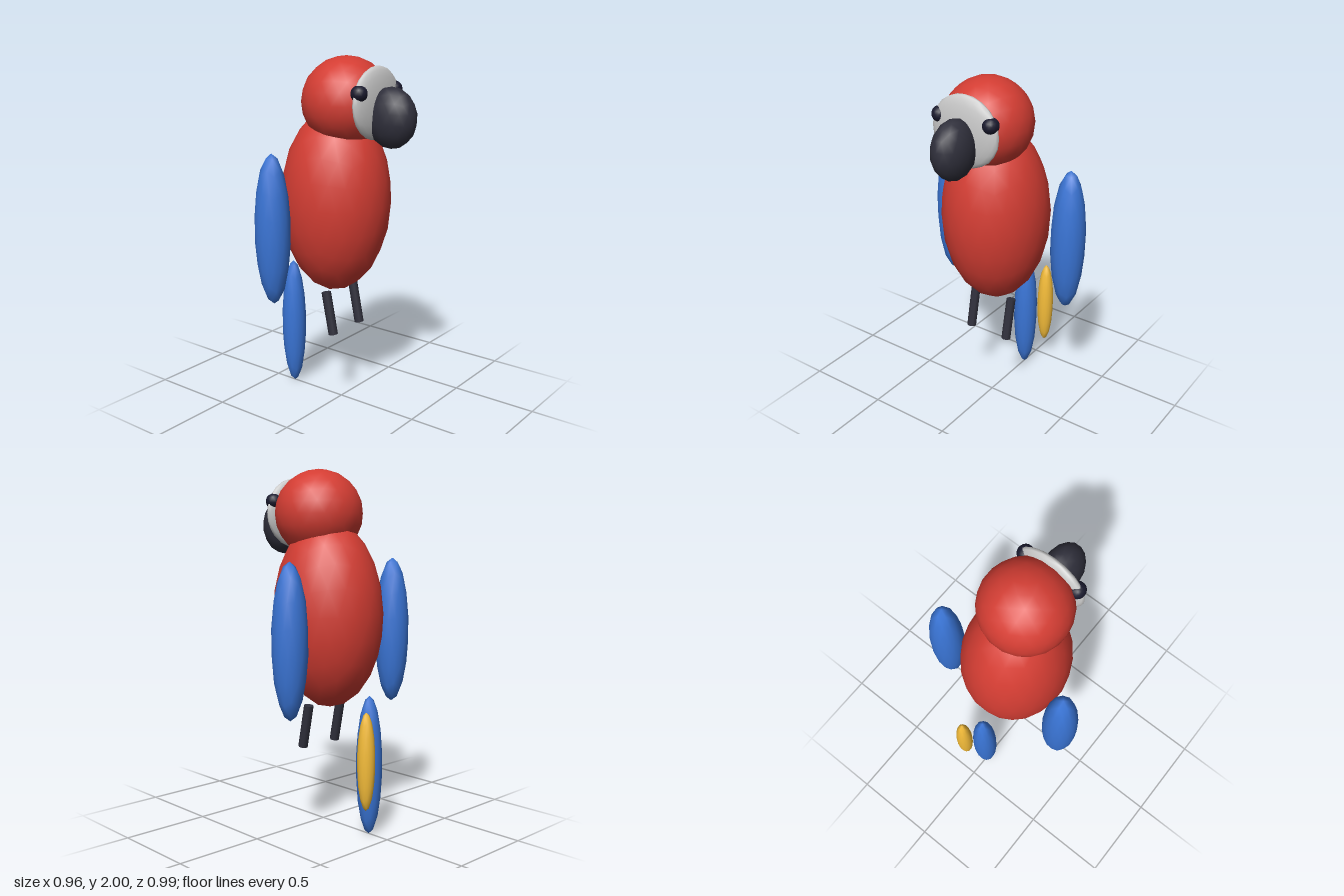
import * as THREE from 'three';

const RED = 0xd43d33, BLUE = 0x3a75d6, YELLOW = 0xf5bd3a, DARK = 0x30303c, EYE = 0x1a1a2e, GREY = 0xcccccc;

export function createModel() {
  const parrot = new THREE.Group();
  parrot.name = 'parrot';

  const add = (name, geometry, color, position) => {
    const mesh = new THREE.Mesh(geometry, new THREE.MeshStandardMaterial({ color }));
    mesh.name = name;
    mesh.position.set(...position);
    parrot.add(mesh);
    return mesh;
  };

  // Smooth low-poly ellipsoid with a vertex at each pole of the y axis
  const ellipsoid = (name, color, position, radii, detail = 2) => {
    const geometry = new THREE.IcosahedronGeometry(1, detail);
    geometry.rotateZ(Math.atan(2 / (1 + Math.sqrt(5))));
    geometry.scale(...radii);
    return add(name, geometry, color, position);
  };

  // Body and head, facing +x
  ellipsoid('body', RED, [-0.04, 1.2, 0], [0.318, 0.53, 0.3], 3).rotation.z = -0.03;
  ellipsoid('head', RED, [0.035, 1.755, 0], [0.247, 0.245, 0.247], 3);

  // Face patch and beak
  ellipsoid('facePatch', GREY, [0.233, 1.76, 0], [0.047, 0.196, 0.208], 3);
  ellipsoid('beak', DARK, [0.33, 1.69, 0], [0.147, 0.163, 0.102]);

  // Paired eyes, wings and legs
  for (const [side, s] of [['right', 1], ['left', -1]]) {
    ellipsoid(side + 'Eye', EYE, [0.235, 1.823, s * 0.16], [0.046, 0.044, 0.044]);
    ellipsoid(side + 'Wing', BLUE, [-0.163, 1.085, s * 0.398], [0.098, 0.42, 0.098]);
    const leg = new THREE.CylinderGeometry(0.027, 0.027, 0.25, 8);
    add(side + 'Leg', leg, DARK, [0.012, 0.565, s * 0.125]).rotation.z = 0.2;
  }

  // Tail feathers
  ellipsoid('tailFeather', BLUE, [-0.362, 0.388, 0], [0.072, 0.388, 0.072]);
  ellipsoid('tailAccentFeather', YELLOW, [-0.434, 0.44, -0.1], [0.049, 0.27, 0.049]);

  return parrot;
}
